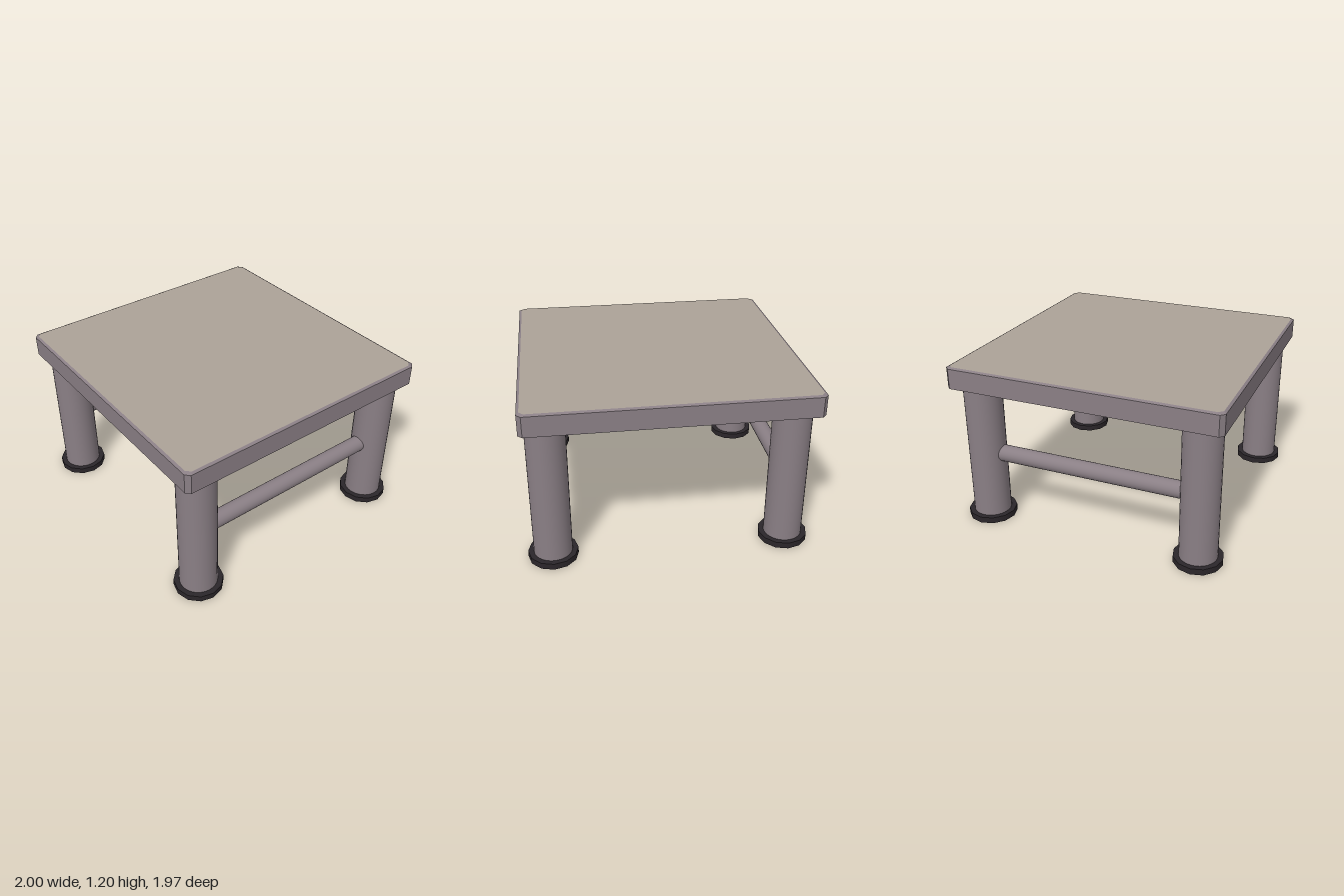
import * as THREE from 'three';

const frame = new THREE.MeshStandardMaterial({ color: 0x8a7f85 });
const panel = new THREE.MeshStandardMaterial({ color: 0xaca298 });
const rubber = new THREE.MeshStandardMaterial({ color: 0x2b262a });

const LEG_X = 0.825, LEG_Z = 0.805, LEG_R = 0.135;

function add(parent, name, geometry, material, x, y, z) {
  const mesh = new THREE.Mesh(geometry, material);
  mesh.name = name;
  mesh.position.set(x, y, z);
  parent.add(mesh);
  return mesh;
}

// Rectangle with cut corners, extruded upward; the top outline can be drawn in by an inset
function slab(hx, hz, cut, height, inset = 0) {
  const shape = new THREE.Shape([
    [hx - cut, -hz], [hx, cut - hz], [hx, hz - cut], [hx - cut, hz],
    [cut - hx, hz], [-hx, hz - cut], [-hx, cut - hz], [cut - hx, -hz],
  ].map(([x, z]) => new THREE.Vector2(x, z)));
  const geometry = new THREE.ExtrudeGeometry(shape, { depth: height, bevelEnabled: false });
  geometry.rotateX(-Math.PI / 2);
  const p = geometry.attributes.position;
  for (let i = 0; i < p.count; i++) {
    if (p.getY(i) > height / 2) {
      p.setX(i, p.getX(i) * (1 - inset / hx));
      p.setZ(i, p.getZ(i) * (1 - inset / hz));
    }
  }
  geometry.computeVertexNormals();
  return geometry;
}

export function createModel() {
  const model = new THREE.Group();
  model.name = 'stepStool';

  // Top: thick frame with a bevelled rim around the standing surface
  add(model, 'topFrame', slab(0.995, 0.983, 0.03, 0.145), frame, -0.005, 1.04, 0);
  add(model, 'standingSurface', slab(0.995, 0.983, 0.03, 0.01, 0.018), [panel, frame], -0.005, 1.185, 0);

  // Legs with wide rubber feet
  const legGeometry = new THREE.CylinderGeometry(LEG_R, LEG_R, 1.01, 32);
  const footGeometry = new THREE.CylinderGeometry(0.175, 0.175, 0.045, 12);
  for (const sx of [-1, 1]) {
    for (const sz of [-1, 1]) {
      const name = (sz > 0 ? 'front' : 'back') + (sx > 0 ? 'Left' : 'Right');
      add(model, name + 'Leg', legGeometry, frame, sx * LEG_X, 0.535, sz * LEG_Z);
      add(model, name + 'Foot', footGeometry, rubber, sx * LEG_X, 0.0225, sz * LEG_Z);
    }
  }

  // Stretchers joining the front and back legs on each side
  const barGeometry = new THREE.CylinderGeometry(0.06, 0.06, LEG_Z * 2, 24).rotateX(Math.PI / 2);
  for (const sx of [-1, 1]) {
    add(model, sx > 0 ? 'leftStretcher' : 'rightStretcher', barGeometry, frame, sx * LEG_X, 0.52, 0);
  }
  return model;
}
